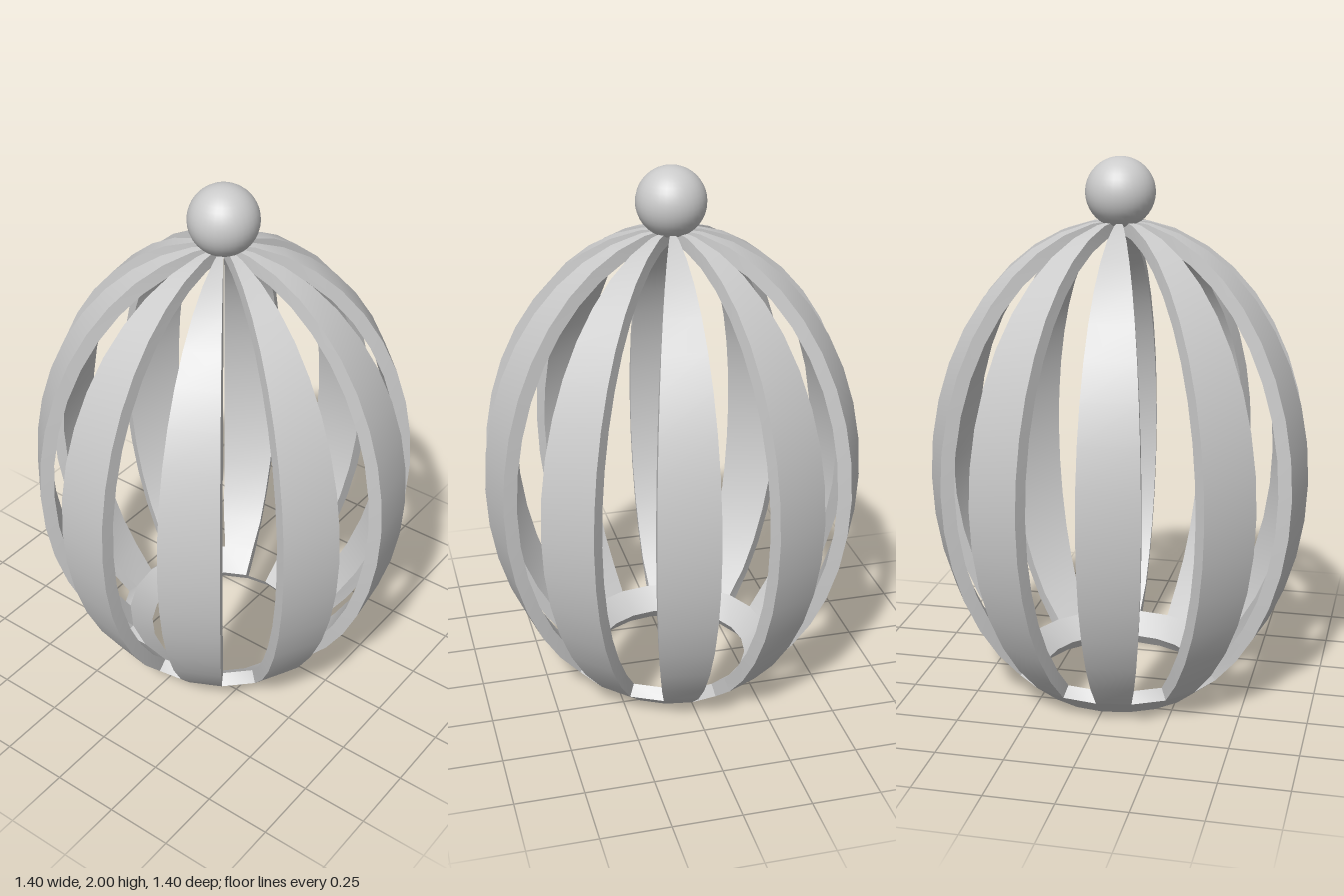
import * as THREE from 'three';
import { toCreasedNormals } from 'three/addons/utils/BufferGeometryUtils.js';

const STEP = Math.PI / 10;          // 20 divisions around
const ROW = Math.PI / 20;           // 20 rows from bottom pole to top pole
const RX = 0.7, RY = 0.94, CY = 0.838, WALL = 0.05;
const material = new THREE.MeshStandardMaterial({ color: 0xcccccc });

// Point on the egg shell; depth pushes it inwards along the face direction "facing"
function shellPoint(row, angle, depth = 0, facing = angle) {
  const t = row * ROW, r = RX * Math.sin(t);
  const n = new THREE.Vector2(Math.sin(t) / RX, -Math.cos(t) / RY).normalize();
  return new THREE.Vector3(
    r * Math.cos(angle) - depth * n.x * Math.cos(facing),
    CY - RY * Math.cos(t) - depth * n.y,
    r * Math.sin(angle) - depth * n.x * Math.sin(facing));
}

// Skin a list of closed four-point sections, optionally capping both ends
function loft(sections, capped) {
  const pos = [];
  const quad = (a, b, c, d) => [a, b, c, a, c, d].forEach(p => pos.push(p.x, p.y, p.z));
  for (let k = 0; k + 1 < sections.length; k++) {
    const s = sections[k], u = sections[k + 1];
    for (let j = 0; j < 4; j++) quad(s[j], s[(j + 1) % 4], u[(j + 1) % 4], u[j]);
  }
  if (capped) {
    quad(...[...sections[0]].reverse());
    quad(...sections[sections.length - 1]);
  }
  const geo = new THREE.BufferGeometry();
  geo.setAttribute('position', new THREE.Float32BufferAttribute(pos, 3));
  return toCreasedNormals(geo, 0.55);
}

function addMesh(group, name, geometry, mat = material) {
  const mesh = new THREE.Mesh(geometry, mat);
  mesh.name = name;
  group.add(mesh);
  return mesh;
}

export function createModel() {
  const model = new THREE.Group();
  model.name = 'eggCage';

  // Ten curved ribs, flat across, tapering to the top pole
  const ribSections = [];
  for (let row = 4; row <= 20; row++) {
    const onRing = row === 4, mid = STEP / 2;
    ribSections.push([
      shellPoint(row, STEP), shellPoint(row, 0),
      shellPoint(row, 0, WALL, onRing ? 0 : mid),
      shellPoint(row, STEP, WALL, onRing ? STEP : mid)]);
  }
  const ribGeometry = loft(ribSections, false);
  const ribs = new THREE.Group();
  ribs.name = 'ribs';
  for (let k = 0; k < 10; k++) addMesh(ribs, 'rib', ribGeometry).rotation.y = -2 * STEP * k;
  model.add(ribs);

  // Base ring, open over one division
  const ringSections = [];
  for (let k = 0; k <= 19; k++) {
    const a = k * STEP;
    ringSections.push([shellPoint(3, a), shellPoint(4, a),
      shellPoint(4, a, WALL), shellPoint(3, a, WALL)]);
  }
  addMesh(model, 'baseRing', loft(ringSections, true));

  // Thin lip that closes the rim across the opening
  const [a, b] = [19 * STEP, 20 * STEP];
  const lip = new THREE.BufferGeometry().setFromPoints([
    shellPoint(3, a), shellPoint(3, a, WALL), shellPoint(3, b, WALL), shellPoint(3, b)]);
  lip.setIndex([0, 1, 2, 0, 2, 3]);
  lip.computeVertexNormals();
  const thin = material.clone();
  thin.side = THREE.DoubleSide;
  addMesh(model, 'rimLip', lip, thin);

  // Ball on top
  addMesh(model, 'topBall', new THREE.SphereGeometry(0.126, 32, 20)).position.y = 1.874;

  return model;
}
